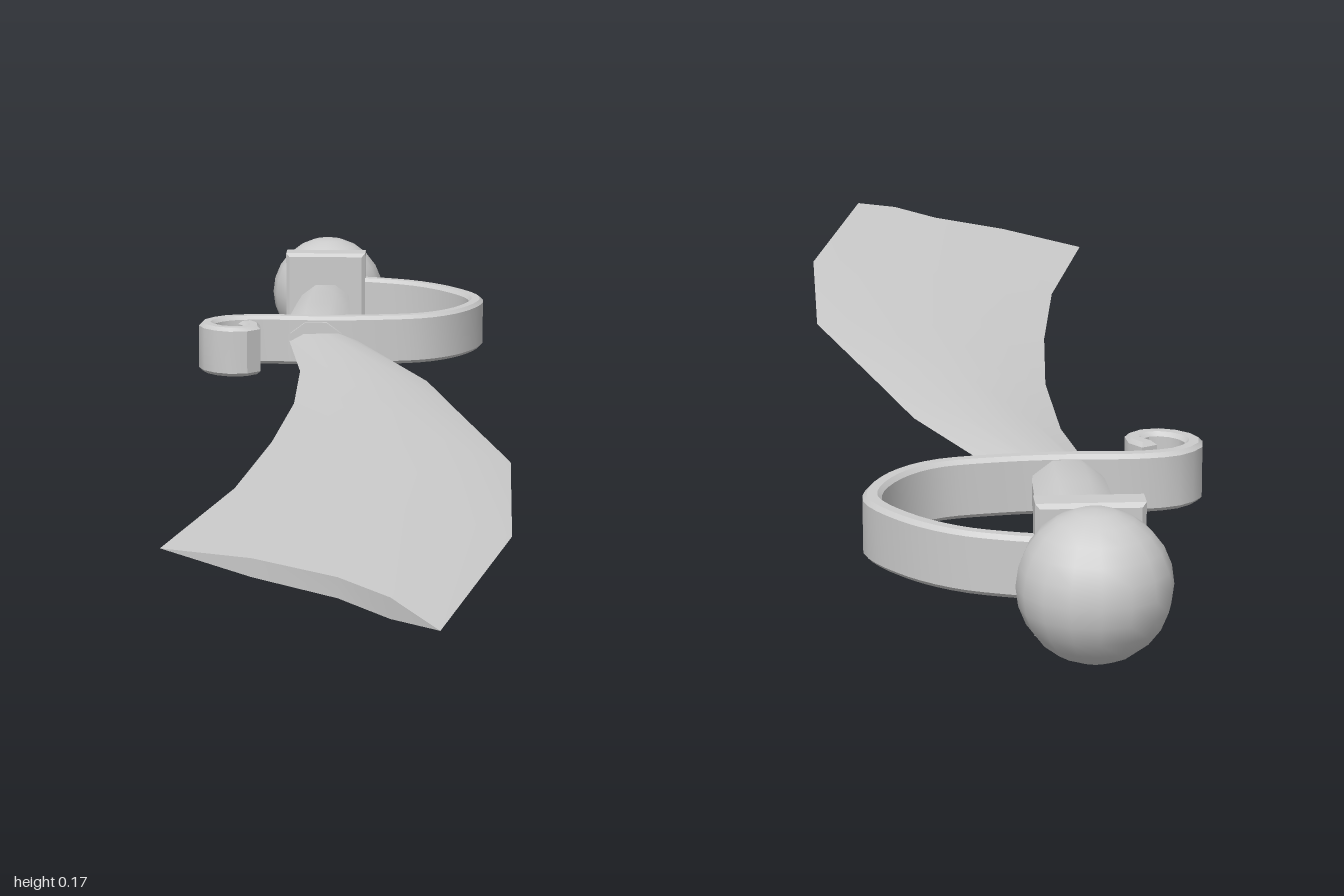
import * as THREE from 'three';
import { toCreasedNormals } from 'three/addons/utils/BufferGeometryUtils.js';

const MID = 0.086; // height of the sword's centre plane
const AXIS = -0.06; // x of the grip axis

function createBlade() {
  // Rows from guard to tip; each runs from the concave edge to the convex edge as [x, z].
  const rows = [
    [[-0.1, -0.53], [-0.08, -0.53], [-0.05, -0.53], [-0.03, -0.53], [0, -0.53]],
    [[-0.072, -0.31], [-0.035, -0.3], [0.01, -0.285], [0.055, -0.27], [0.108, -0.25]],
    [[-0.069, -0.1], [-0.02, -0.09], [0.04, -0.075], [0.1, -0.06], [0.155, -0.05]],
    [[-0.085, 0.13], [-0.015, 0.15], [0.07, 0.18], [0.16, 0.215], [0.222, 0.23]],
    [[-0.115, 0.38], [-0.035, 0.43], [0.06, 0.5], [0.16, 0.57], [0.222, 0.6]],
    [[-0.18, 0.67], [-0.07, 0.75], [0.03, 0.83], [0.09, 0.91], [0.145, 0.995]],
  ];
  const half = [0, 0.011, 0.012, 0.012, 0];
  const n = half.length;
  const pos = [];
  const idx = [];
  for (const s of [1, -1]) {
    for (const row of rows) row.forEach(([x, z], i) => pos.push(x, MID + s * half[i], z));
  }
  const under = rows.length * n;
  const quad = (a, b, c, d) => idx.push(a, b, c, a, c, d);
  for (let r = 0; r < rows.length - 1; r++) {
    for (let i = 0; i < n - 1; i++) {
      const a = r * n + i;
      quad(a, a + n, a + n + 1, a + 1);
      quad(under + a, under + a + 1, under + a + n + 1, under + a + n);
    }
  }
  // Close both ends
  for (let i = 0; i < n - 1; i++) {
    const e = under - n + i;
    quad(e, under + e, under + e + 1, e + 1);
    quad(i, i + 1, under + i + 1, under + i);
  }
  const geo = new THREE.BufferGeometry();
  geo.setAttribute('position', new THREE.Float32BufferAttribute(pos, 3));
  geo.setIndex(idx);
  return toCreasedNormals(geo, 0.6);
}

function createGuard() {
  // Centre line of the band, from the collar round the knuckles to the scroll
  const path = new THREE.CatmullRomCurve3([
    [-0.02, -0.85], [0.02, -0.84], [0.08, -0.815], [0.135, -0.765], [0.173, -0.69],
    [0.15, -0.61], [0.1, -0.56], [0.02, -0.54], [-0.06, -0.534], [-0.15, -0.536],
    [-0.195, -0.523], [-0.218, -0.488], [-0.203, -0.455], [-0.168, -0.443],
    [-0.145, -0.465], [-0.16, -0.492],
  ].map(([x, z]) => new THREE.Vector3(x, -z, 0)));
  const steps = 48;
  const w = 0.006;
  const outer = [];
  const inner = [];
  for (let i = 0; i <= steps; i++) {
    const p = path.getPointAt(i / steps);
    const t = path.getTangentAt(i / steps);
    outer.push(new THREE.Vector2(p.x - t.y * w, p.y + t.x * w));
    inner.unshift(new THREE.Vector2(p.x + t.y * w, p.y - t.x * w));
  }
  const bevel = 0.005;
  const geo = new THREE.ExtrudeGeometry(new THREE.Shape([...outer, ...inner]), {
    depth: 0.062, bevelEnabled: true, bevelSize: bevel, bevelThickness: bevel, bevelSegments: 1,
  });
  geo.translate(0, 0, -0.031).rotateX(-Math.PI / 2).translate(0, MID, 0);
  return toCreasedNormals(geo, 0.6);
}

function createGrip() {
  const profile = [[0, -0.84], [0.036, -0.84], [0.041, -0.75], [0.046, -0.64], [0.044, -0.57], [0.038, -0.52], [0, -0.52]]
    .map(([r, z]) => new THREE.Vector2(r, z));
  const geo = new THREE.LatheGeometry(profile, 8, Math.PI / 8);
  geo.scale(1.06, 1, 0.8).rotateX(Math.PI / 2).translate(AXIS, MID, 0);
  return toCreasedNormals(geo, 0.9);
}

function createCollar() {
  // Chamfered block between grip and pommel
  const hx = 0.056;
  const hy = 0.071;
  const shape = new THREE.Shape([[-hx, -hy], [hx, -hy], [hx, hy], [-hx, hy]].map(([x, y]) => new THREE.Vector2(x, y)));
  const geo = new THREE.ExtrudeGeometry(shape, {
    depth: 0.03, bevelEnabled: true, bevelSize: 0.005, bevelThickness: 0.005, bevelSegments: 1,
  });
  return geo.translate(AXIS, MID, -0.86);
}

export function createModel() {
  const sword = new THREE.Group();
  sword.name = 'sabre';
  const material = new THREE.MeshStandardMaterial({ color: 0xcccccc });
  const add = (name, geometry) => {
    const mesh = new THREE.Mesh(geometry, material);
    mesh.name = name;
    sword.add(mesh);
  };
  add('blade', createBlade());
  add('handGuard', createGuard());
  add('grip', createGrip());
  add('collar', createCollar());
  add('pommel', new THREE.SphereGeometry(MID, 16, 12).translate(AXIS, MID, -0.914));
  return sword;
}
